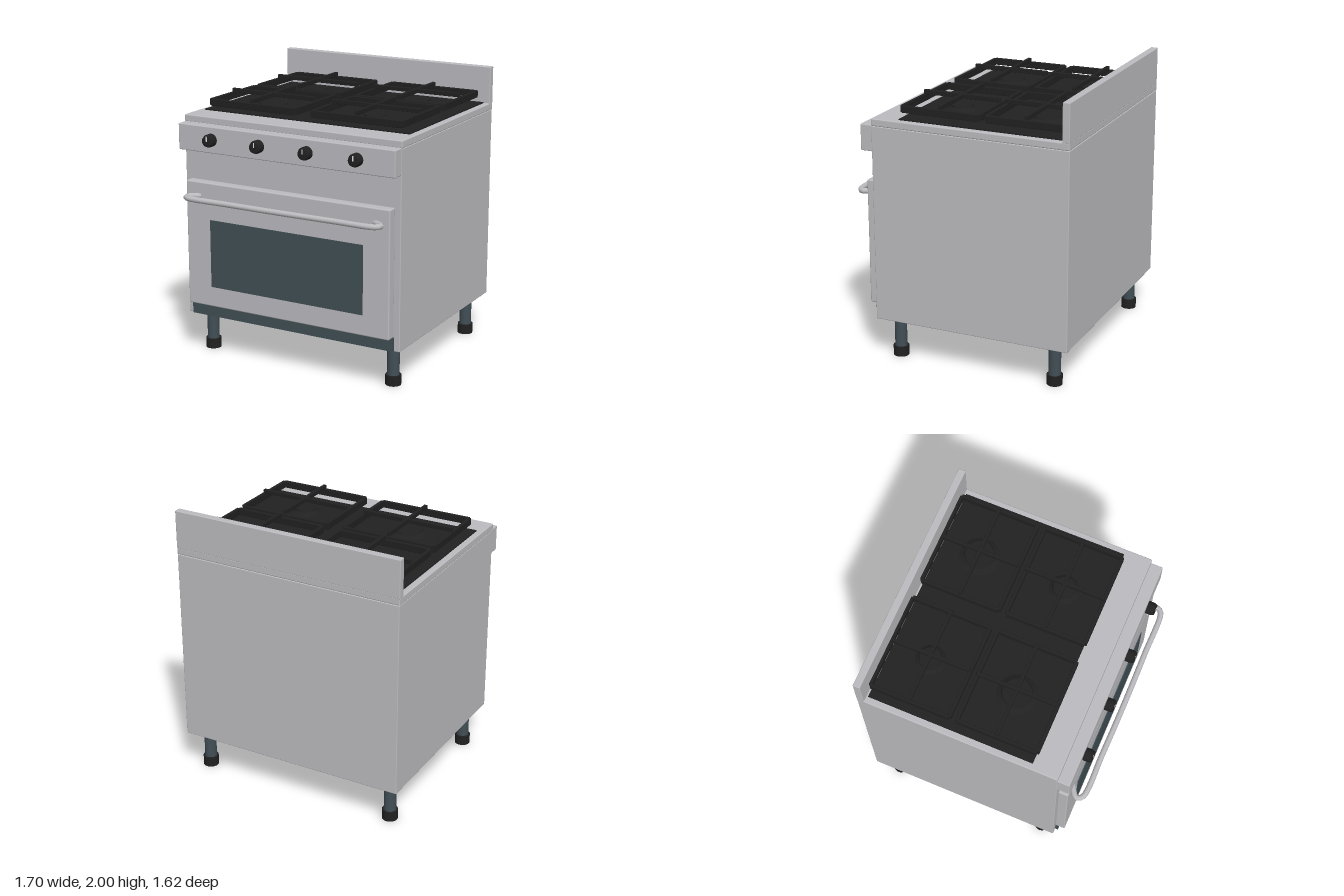
import * as THREE from 'three';
import { RoundedBoxGeometry } from 'three/addons/geometries/RoundedBoxGeometry.js';

const mat = (name, color) => {
  const m = new THREE.MeshStandardMaterial({ color });
  m.name = name;
  return m;
};

export function createModel() {
  const steel = mat('brushed steel', 0xbcbcc0);
  const black = mat('cast iron black', 0x212121);
  const slate = mat('dark slate', 0x414f56);
  const white = mat('marker white', 0xe4e4e4);

  const stove = new THREE.Group();
  stove.name = 'stove';

  const add = (name, geo, material, x = 0, y = 0, z = 0, parent = stove) => {
    const mesh = new THREE.Mesh(geo, material);
    mesh.name = name;
    mesh.position.set(x, y, z);
    parent.add(mesh);
    return mesh;
  };
  // Box given by its limits; r > 0 softens the edges
  const box = (name, material, [x0, x1], [y0, y1], [z0, z1], r = 0, parent = stove) => {
    const size = [x1 - x0, y1 - y0, z1 - z0];
    const geo = r ? new RoundedBoxGeometry(...size, 2, r) : new THREE.BoxGeometry(...size);
    return add(name, geo, material, (x0 + x1) / 2, (y0 + y1) / 2, (z0 + z1) / 2, parent);
  };

  // Cabinet
  box('body', steel, [-0.845, 0.845], [0.29, 1.685], [-0.81, 0.62], 0.006);
  box('worktop', steel, [-0.848, 0.848], [1.685, 1.737], [-0.81, 0.62], 0.008);
  box('backsplash', steel, [-0.848, 0.848], [1.73, 2], [-0.81, -0.758], 0.006);
  box('controlPanel', steel, [-0.842, 0.842], [1.505, 1.69], [0.61, 0.705], 0.007);
  box('kickPlate', slate, [-0.803, 0.803], [0.295, 0.39], [0.61, 0.642]);
  box('ovenDoor', steel, [-0.8, 0.8], [0.387, 1.287], [0.615, 0.69], 0.01);
  box('ovenWindow', slate, [-0.603, 0.603], [0.535, 1.023], [0.688, 0.696]);

  // Bowed door handle, ends turned back to the door
  const half = [[0.685, 0.68], [0.755, 0.728], [0.758, 0.75], [0.73, 0.778], [0.4, 0.786]];
  const path = [
    ...half.map(([x, z]) => new THREE.Vector3(-x, 1.185, z)),
    new THREE.Vector3(0, 1.185, 0.79),
    ...half.slice().reverse().map(([x, z]) => new THREE.Vector3(x, 1.185, z)),
  ];
  add('doorHandle', new THREE.TubeGeometry(new THREE.CatmullRomCurve3(path), 72, 0.02, 12), steel);

  // Knobs with a pointer mark
  for (const x of [-0.57, -0.19, 0.187, 0.565]) {
    const knob = new THREE.Group();
    knob.name = 'knob';
    knob.position.set(x, 1.6, 0.705);
    stove.add(knob);
    const profile = [[0.045, 0], [0.045, 0.04], [0.04, 0.052], [0.037, 0.06], [0, 0.06]];
    const geo = new THREE.LatheGeometry(profile.map(p => new THREE.Vector2(...p)), 24);
    add('knobBody', geo.rotateX(Math.PI / 2), black, 0, 0, 0, knob);
    box('knobMark', white, [-0.004, 0.004], [0, 0.035], [0.058, 0.062], 0, knob);
  }

  // Legs and feet
  for (const x of [-0.735, 0.735]) for (const z of [-0.68, 0.49]) {
    add('leg', new THREE.CylinderGeometry(0.043, 0.043, 0.24, 24), slate, x, 0.18, z);
    add('foot', new THREE.CylinderGeometry(0.055, 0.055, 0.072, 24), black, x, 0.036, z);
  }

  // Hob plate
  box('hobPlate', black, [-0.805, 0.805], [1.73, 1.745], [-0.745, 0.43]);

  // Burners with domed skirt and cap, one under each pan support
  for (const [x, z, r] of [[-0.41, -0.47, 0.11], [0.405, -0.47, 0.145], [-0.41, 0.152, 0.145], [0.405, 0.152, 0.11]]) {
    const burner = new THREE.Group();
    burner.name = 'burner';
    burner.position.set(x, 1.743, z);
    stove.add(burner);
    add('burnerSkirt', new THREE.CylinderGeometry(r * 0.62, r, 0.025, 32), black, 0, 0.0125, 0, burner);
    add('burnerCap', new THREE.CylinderGeometry(r * 0.68, r * 0.72, 0.014, 32), black, 0, 0.032, 0, burner);
  }

  // Pan supports: floating frame with crossed bars on top
  for (const x of [-0.408, 0.408]) for (const z of [-0.467, 0.153]) {
    const grate = new THREE.Group();
    grate.name = 'panSupport';
    grate.position.set(x, 0, z);
    stove.add(grate);
    const w = 0.352, d = 0.295, t = 0.024, inset = 0.014;
    for (const s of [-1, 1]) {
      add('frontBackRail', new RoundedBoxGeometry(2 * (w - inset), 0.05, t, 1, 0.004), black,
        0, 1.8, s * (d - t / 2), grate);
      add('sideRail', new RoundedBoxGeometry(t, 0.05, 2 * (d - inset), 1, 0.004), black,
        s * (w - t / 2), 1.8, 0, grate);
    }
    const bar = 0.024;
    box('crossBarX', black, [-0.34, 0.34], [1.823, 1.853], [-bar / 2, bar / 2], 0.003, grate);
    box('crossBarZ', black, [-bar / 2, bar / 2], [1.823, 1.855], [-0.285, 0.285], 0.003, grate);
  }

  return stove;
}
